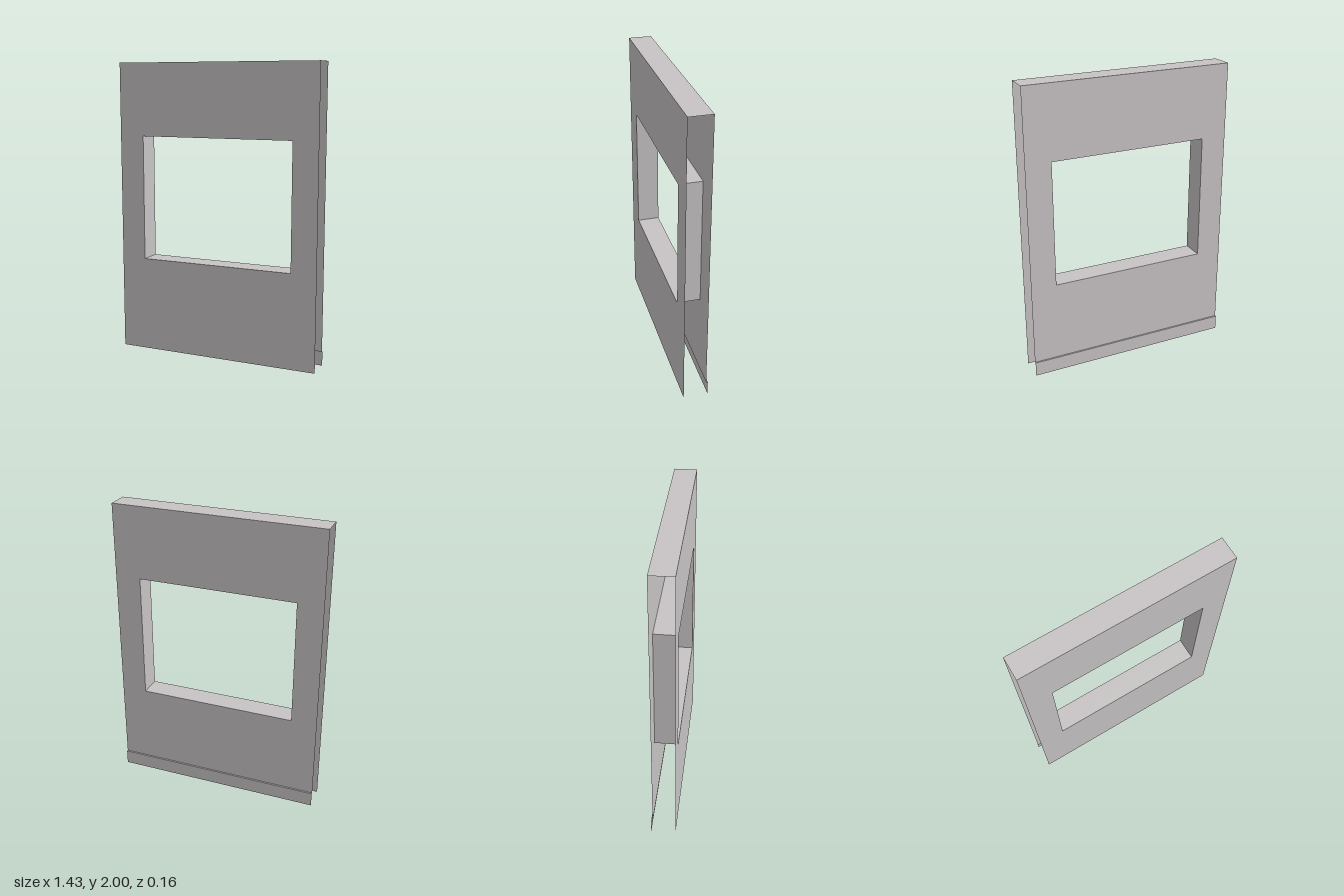
import * as THREE from 'three';

const HALF_W = 0.713, TOP = 2, FRONT = 0.082, BACK = -0.071, SKIRT_Z = -0.082, SKIRT_H = 0.1;
const WIN = { half: 0.538, bottom: 0.65, top: 1.505 };

export function createModel() {
  const model = new THREE.Group();
  model.name = 'windowWall';
  const plaster = new THREE.MeshStandardMaterial({ color: 0xc8c4c5, side: THREE.DoubleSide });
  plaster.name = 'warm grey plaster';

  function add(name, geometry, position, rotation = [0, 0, 0], parent = model) {
    const mesh = new THREE.Mesh(geometry, plaster);
    mesh.name = name;
    mesh.position.set(...position);
    mesh.rotation.set(...rotation);
    parent.add(mesh);
  }

  // Open wall sheet with a window cut out
  function wallSheet(bottom) {
    const shape = new THREE.Shape([
      new THREE.Vector2(-HALF_W, bottom), new THREE.Vector2(HALF_W, bottom),
      new THREE.Vector2(HALF_W, TOP), new THREE.Vector2(-HALF_W, TOP),
    ]);
    shape.holes.push(new THREE.Path([
      new THREE.Vector2(-WIN.half, WIN.bottom), new THREE.Vector2(-WIN.half, WIN.top),
      new THREE.Vector2(WIN.half, WIN.top), new THREE.Vector2(WIN.half, WIN.bottom),
    ]));
    return new THREE.ShapeGeometry(shape);
  }

  const depth = FRONT - BACK, midZ = (FRONT + BACK) / 2, q = Math.PI / 2;

  // Front and back faces, joined only along the top
  add('frontWall', wallSheet(0), [0, 0, FRONT]);
  add('backWall', wallSheet(SKIRT_H), [0, 0, BACK], [0, Math.PI, 0]);
  add('topCap', new THREE.PlaneGeometry(HALF_W * 2, depth), [0, TOP, midZ], [-q, 0, 0]);

  // Window reveal
  const reveal = new THREE.Group();
  reveal.name = 'windowReveal';
  model.add(reveal);
  const winH = WIN.top - WIN.bottom, winMid = (WIN.top + WIN.bottom) / 2;
  add('sill', new THREE.PlaneGeometry(WIN.half * 2, depth), [0, WIN.bottom, midZ], [-q, 0, 0], reveal);
  add('lintel', new THREE.PlaneGeometry(WIN.half * 2, depth), [0, WIN.top, midZ], [q, 0, 0], reveal);
  for (const [name, side] of [['leftJamb', 1], ['rightJamb', -1]]) {
    add(name, new THREE.PlaneGeometry(depth, winH), [side * WIN.half, winMid, midZ], [0, -side * q, 0], reveal);
  }

  // Skirting along the back, with its narrow ledge
  add('skirting', new THREE.PlaneGeometry(HALF_W * 2, SKIRT_H), [0, SKIRT_H / 2, SKIRT_Z], [0, Math.PI, 0]);
  add('skirtingLedge', new THREE.PlaneGeometry(HALF_W * 2, BACK - SKIRT_Z),
    [0, SKIRT_H, (BACK + SKIRT_Z) / 2], [-q, 0, 0]);

  return model;
}
